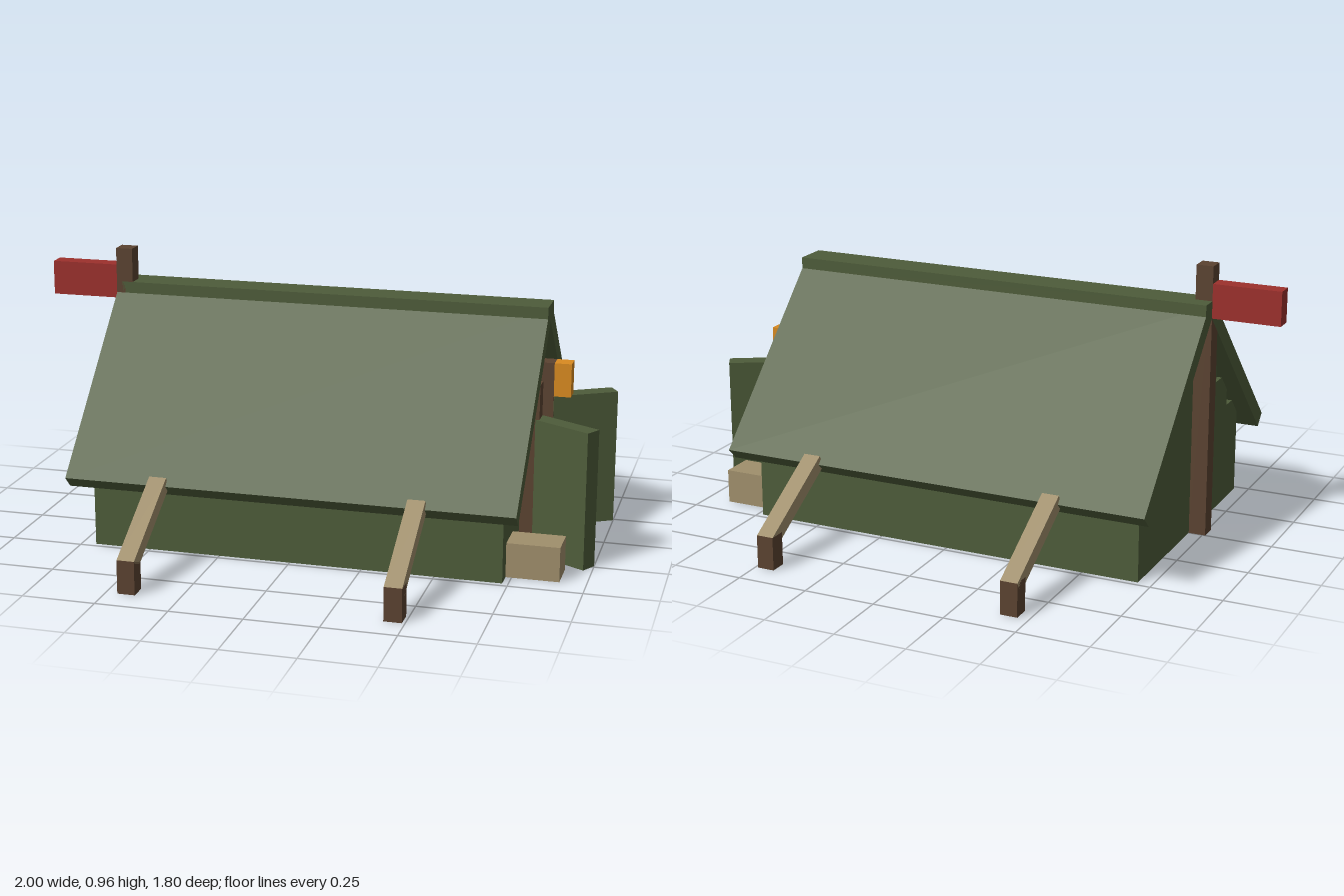
import * as THREE from 'three';

const material = (name, color) => {
  const m = new THREE.MeshStandardMaterial({ color });
  m.name = name;
  return m;
};

export function createModel() {
  const canvas = material('canvasGreen', 0x4e5c3a);
  const wood = material('darkWood', 0x5b4331);
  const tan = material('tan', 0xa08f6c);
  const red = material('flagRed', 0x9c302c);
  const amber = material('lanternAmber', 0xd98a20);

  const tent = new THREE.Group();
  tent.name = 'tent';

  // Box given by its minimum and maximum corners
  const box = (name, mat, [x0, y0, z0], [x1, y1, z1]) => {
    const mesh = new THREE.Mesh(new THREE.BoxGeometry(x1 - x0, y1 - y0, z1 - z0), mat);
    mesh.position.set((x0 + x1) / 2, (y0 + y1) / 2, (z0 + z1) / 2);
    mesh.name = name;
    tent.add(mesh);
    return mesh;
  };

  // Cross-section in (z, y), extruded along x from x0 to x1
  const prism = (name, mat, points, x0, x1, hole) => {
    const shape = new THREE.Shape(points.map(([z, y]) => new THREE.Vector2(-z, y)));
    if (hole) shape.holes.push(new THREE.Path(hole.map(([z, y]) => new THREE.Vector2(-z, y))));
    const geo = new THREE.ExtrudeGeometry(shape, { depth: x1 - x0, bevelEnabled: false });
    geo.rotateY(Math.PI / 2).translate(x0, 0, 0);
    const mesh = new THREE.Mesh(geo, mat);
    mesh.name = name;
    tent.add(mesh);
  };

  // Pitched roof and ridge cap
  prism('roof', canvas, [[-0.59, 0.27], [-0.03, 0.83], [0.03, 0.83], [0.59, 0.27],
    [0.55, 0.23], [0, 0.78], [-0.55, 0.23]], -0.76, 0.79);
  box('ridgeCap', canvas, [-0.76, 0.80, -0.06], [0.79, 0.84, 0.06]);

  // Stepped gables: closed at the rear, with a doorway at the entrance
  const steps = [[0.48, 0], [0.48, 0.36], [0.36, 0.36], [0.36, 0.48], [0.24, 0.48],
    [0.24, 0.6], [0.12, 0.6], [0.12, 0.72]];
  const mirrored = steps.map(([z, y]) => [-z, y]).reverse();
  const doorway = [[-0.12, 0], [-0.12, 0.54], [0.12, 0.54], [0.12, 0]];
  prism('rearGable', canvas, [...steps, ...mirrored], -0.70, -0.64);
  prism('entranceGable', canvas, [...steps, ...mirrored, ...doorway], 0.67, 0.73);

  // Parts mirrored across the ridge
  for (const s of [1, -1]) {
    const side = (name, mat, x0, x1, y1, z0, z1) =>
      box(name, mat, [x0, 0, Math.min(s * z0, s * z1)], [x1, y1, Math.max(s * z0, s * z1)]);

    side('sideWall', canvas, -0.64, 0.67, 0.36, 0.42, 0.48);
    side('doorPost', wood, 0.73, 0.79, 0.6, 0.12, 0.18);
    side('crate', tan, 0.73, 0.91, 0.12, 0.30, 0.42);

    // Door flap swung outward
    const flap = box('doorFlap', canvas, [-0.12, 0, -0.03], [0.12, 0.48, 0.03]);
    flap.position.set(0.881, 0.24, s * 0.206);
    flap.rotation.y = -s * Math.PI / 6;

    // Guy lines and their pegs
    for (const x of [-0.43, 0.46]) {
      side('peg', wood, x - 0.03, x + 0.03, 0.115, 0.84, 0.90);
      const line = box('guyLine', tan, [-0.03, -0.024, -0.184], [0.03, 0.024, 0.184]);
      line.position.set(x, 0.186, s * 0.728);
      line.rotation.x = s * Math.PI / 6;
    }
  }

  // Rear pole with flag, and lantern at the door
  box('rearPole', wood, [-0.76, 0, 0], [-0.70, 0.96, 0.06]);
  box('flag', red, [-1, 0.78, 0], [-0.76, 0.90, 0.06]);
  box('lantern', amber, [0.79, 0.48, -0.18], [0.85, 0.60, -0.12]);

  return tent;
}
